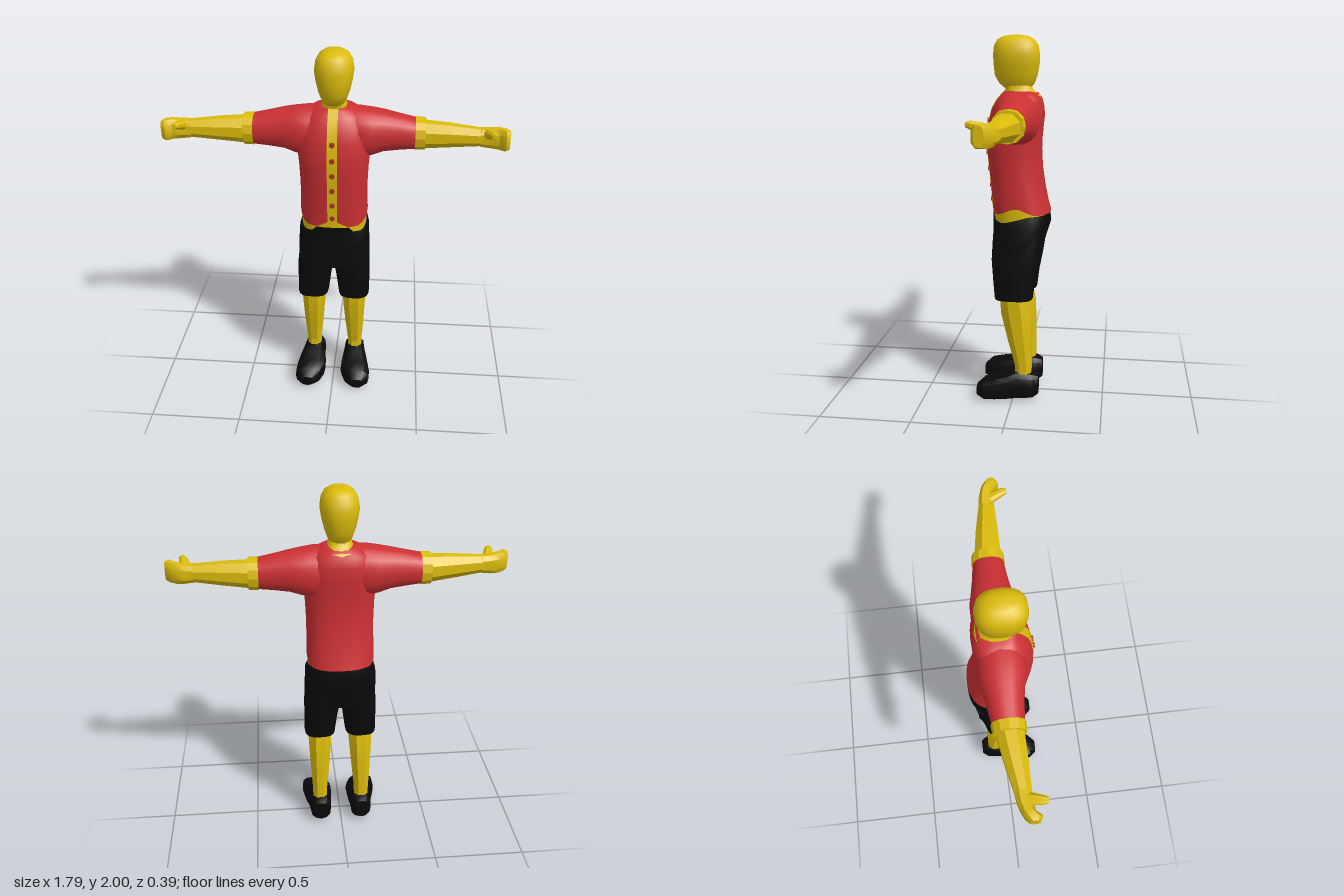
import * as THREE from 'three';
import { toCreasedNormals } from 'three/addons/utils/BufferGeometryUtils.js';

const mat = (name, color) => Object.assign(new THREE.MeshStandardMaterial({ color }), { name });

// Superellipse ring between two bounds on each of two axes; p sets squareness
function ring(axis, at, [u0, u1], [v0, v1], n = 8, p = 2) {
  const pts = [];
  for (let i = 0; i < n; i++) {
    const t = (i / n) * Math.PI * 2 + (n <= 8 ? Math.PI / n : 0);
    const c = Math.cos(t), s = Math.sin(t);
    const u = (u0 + u1) / 2 + ((u1 - u0) / 2) * Math.sign(c) * Math.abs(c) ** (2 / p);
    const v = (v0 + v1) / 2 + ((v1 - v0) / 2) * Math.sign(s) * Math.abs(s) ** (2 / p);
    pts.push(axis === 'y' ? [u, at, v] : axis === 'x' ? [at, v, u] : [v, u, at]);
  }
  return pts;
}

// Skin over a stack of rings, optionally mirrored, with fan caps
function loft(rings, { side = 1, crease = 0.9, capStart = true } = {}) {
  const rows = rings.map((r) => {
    const pts = r.map(([x, y, z]) => [x * side, y, z]);
    return side < 0 ? pts.reverse() : pts;
  });
  const n = rows[0].length, pos = rows.flat(2), idx = [];
  for (let r = 0; r < rows.length - 1; r++) {
    for (let i = 0; i < n; i++) {
      const a = r * n + i, b = r * n + ((i + 1) % n);
      idx.push(a, a + n, b, b, a + n, b + n);
    }
  }
  const cap = (r, flip) => {
    const k = pos.length / 3;
    for (let j = 0; j < 3; j++) pos.push(rows[r].reduce((m, p) => m + p[j], 0) / n);
    for (let i = 0; i < n; i++) {
      const a = r * n + i, b = r * n + ((i + 1) % n);
      idx.push(k, flip ? a : b, flip ? b : a);
    }
  };
  if (capStart) cap(0, true);
  cap(rows.length - 1, false);
  const g = new THREE.BufferGeometry();
  g.setAttribute('position', new THREE.Float32BufferAttribute(pos, 3));
  g.setIndex(idx);
  return toCreasedNormals(g, crease);
}

export function createModel() {
  const yellow = mat('yellow', 0xdcbc0c);
  const red = mat('red', 0xcc3033);
  const black = mat('black', 0x0a0a0a);
  const buttonRed = mat('buttonRed', 0xa83428);
  const model = new THREE.Group();
  const add = (name, geo, material) => {
    const m = new THREE.Mesh(geo, material);
    m.name = name;
    model.add(m);
    return m;
  };
  // Rows symmetric in x: [y, half width, back z, front z]
  const body = (rows, n, p) => rows.map(([y, a, z0, z1]) => ring('y', y, [-a, a], [z0, z1], n, p));
  const FLAT = 0.25;

  // Head and neck
  add('head', loft(body([
    [1.725, 0.052, -0.08, 0.06], [1.75, 0.066, -0.1, 0.09], [1.79, 0.08, -0.115, 0.113],
    [1.85, 0.094, -0.126, 0.12], [1.9, 0.101, -0.128, 0.122], [1.945, 0.094, -0.12, 0.117],
    [1.975, 0.078, -0.1, 0.1], [1.993, 0.052, -0.07, 0.07], [2.0, 0.022, -0.03, 0.03],
  ], 24, 2.4)), yellow);
  add('neck', loft(body([
    [1.66, 0.095, -0.142, 0.03], [1.69, 0.088, -0.13, 0.045],
    [1.712, 0.064, -0.095, 0.058], [1.75, 0.058, -0.08, 0.06],
  ], 16, 2.6)), yellow);

  // Shirt body with a notched hem
  const shirtRows = [
    [1.06, 0.182, -0.193, 0.122], [1.12, 0.183, -0.176, 0.126], [1.2, 0.18, -0.16, 0.132],
    [1.3, 0.18, -0.145, 0.142], [1.4, 0.184, -0.14, 0.152], [1.46, 0.19, -0.142, 0.154],
    [1.55, 0.19, -0.15, 0.143], [1.62, 0.18, -0.152, 0.125], [1.67, 0.15, -0.14, 0.095],
    [1.697, 0.11, -0.122, 0.07], [1.71, 0.075, -0.09, 0.058],
  ];
  const shirt = body(shirtRows, 32, 2.5);
  for (const p of shirt[0]) {
    if (p[2] > 0.08) p[1] += 0.045 * Math.max(0, 1 - Math.abs(p[0]) / 0.085);
    if (Math.abs(p[0]) > 0.1) p[1] += 0.045 * Math.max(0, 1 - Math.abs(p[2] + 0.02) / 0.1);
  }
  add('shirt', loft(shirt, { capStart: false, crease: 1.1 }), red);

  // Waist showing through the hem notches
  add('waist', loft(body([
    [0.96, 0.17, -0.17, 0.112], [1.05, 0.178, -0.182, 0.117], [1.13, 0.176, -0.165, 0.118],
  ], 32, 2.5)), yellow);

  // Button band following the chest
  const front = (y) => {
    const i = Math.max(1, shirtRows.findIndex((r) => r[0] >= y));
    const [a, b] = [shirtRows[i - 1], shirtRows[i]];
    return THREE.MathUtils.lerp(a[3], b[3], (y - a[0]) / (b[0] - a[0]));
  };
  const band = [1.085, ...shirtRows.slice(1).map((r) => r[0])].map((y) => {
    const z = front(y) + 0.004;
    return [[0.026, y, z - 0.009], [0.026, y, z], [-0.026, y, z], [-0.026, y, z - 0.009]].reverse();
  });
  add('buttonBand', loft(band.map((r) => r.reverse()), { crease: 0.6 }), yellow);
  for (const y of [1.12, 1.2, 1.29, 1.38, 1.465, 1.55]) {
    const b = add('button', new THREE.CylinderGeometry(0.014, 0.014, 0.009, 12), buttonRed);
    b.rotation.x = Math.PI / 2;
    b.position.set(0, y, front(y) + 0.007);
  }

  // Shorts seat with a waistline dipping at the sides
  const seat = body([
    [0.8, 0.197, -0.142, 0.118], [0.9, 0.197, -0.162, 0.12],
    [1.0, 0.192, -0.193, 0.12], [1.055, 0.181, -0.186, 0.119],
  ], 32, 2.7);
  for (const p of seat[3]) {
    if (Math.abs(p[0]) > 0.1) p[1] -= 0.042 * Math.max(0, 1 - Math.abs(p[2] - 0.06) / 0.15);
  }
  add('shortsSeat', loft(seat), black);

  for (const side of [1, -1]) {
    const s = side > 0 ? 'left' : 'right';
    const part = (name, axis, rows, n, p, crease, material) =>
      add(s + name, loft(rows.map(([at, u, v]) => ring(axis, at, u, v, n, p)), { side, crease }), material);

    // Sleeve and cuff: [x, z range, y range]
    part('Sleeve', 'x', [
      [0.06, [-0.125, 0.08], [1.46, 1.703]], [0.13, [-0.138, 0.105], [1.43, 1.7]],
      [0.2, [-0.138, 0.098], [1.445, 1.69]], [0.26, [-0.125, 0.08], [1.465, 1.68]],
      [0.34, [-0.11, 0.068], [1.475, 1.662]], [0.43, [-0.098, 0.06], [1.484, 1.643]],
    ], 20, 2.3, 1.1, red);
    part('Cuff', 'x', [
      [0.42, [-0.104, 0.066], [1.478, 1.648]], [0.472, [-0.1, 0.064], [1.48, 1.646]],
    ], 12, 2.2, FLAT, yellow);

    // Forearm, hand and thumb
    part('Forearm', 'x', [
      [0.46, [-0.09, 0.056], [1.485, 1.635]], [0.6, [-0.068, 0.056], [1.5, 1.628]],
      [0.76, [-0.034, 0.052], [1.517, 1.613]],
    ], 8, 2, FLAT, yellow);
    part('Hand', 'x', [
      [0.75, [-0.034, 0.052], [1.517, 1.613]], [0.8, [-0.028, 0.05], [1.51, 1.615]],
      [0.845, [-0.014, 0.055], [1.507, 1.622]], [0.875, [0, 0.085], [1.508, 1.624]],
      [0.897, [0.022, 0.072], [1.517, 1.617]],
    ], 8, 2.8, 0.6, yellow);
    part('Thumb', 'z', [
      [0.01, [1.545, 1.61], [0.75, 0.82]], [0.06, [1.572, 1.622], [0.77, 0.826]],
      [0.1, [1.588, 1.628], [0.787, 0.83]], [0.118, [1.597, 1.622], [0.797, 0.823]],
    ], 8, 2.2, 0.6, yellow);

    // Shorts leg: [y, x range, z range]
    part('ShortsLeg', 'y', [
      [0.59, [0.03, 0.202], [-0.108, 0.1]], [0.7, [0.016, 0.202], [-0.122, 0.11]],
      [0.81, [-0.002, 0.2], [-0.144, 0.119]], [0.95, [-0.004, 0.185], [-0.165, 0.112]],
    ], 20, 3, 0.9, black);

    // Lower leg
    part('LowerLeg', 'y', [
      [0.1, [0.08, 0.164], [-0.104, -0.006]], [0.2, [0.078, 0.166], [-0.108, -0.008]],
      [0.36, [0.062, 0.177], [-0.108, 0.036]], [0.5, [0.05, 0.184], [-0.106, 0.07]],
      [0.64, [0.046, 0.188], [-0.075, 0.08]],
    ], 8, 2, FLAT, yellow);

    // Shoe: [z, y range, x range]
    part('Shoe', 'z', [
      [-0.142, [0.03, 0.145], [0.085, 0.155]], [-0.11, [0.008, 0.16], [0.06, 0.178]],
      [-0.02, [0.004, 0.168], [0.055, 0.19]], [0.03, [0.002, 0.145], [0.048, 0.205]],
      [0.1, [0, 0.13], [0.046, 0.218]], [0.16, [0.002, 0.115], [0.07, 0.217]],
      [0.2, [0.02, 0.08], [0.11, 0.182]],
    ], 12, 2.8, 0.6, black);
  }
  return model;
}
